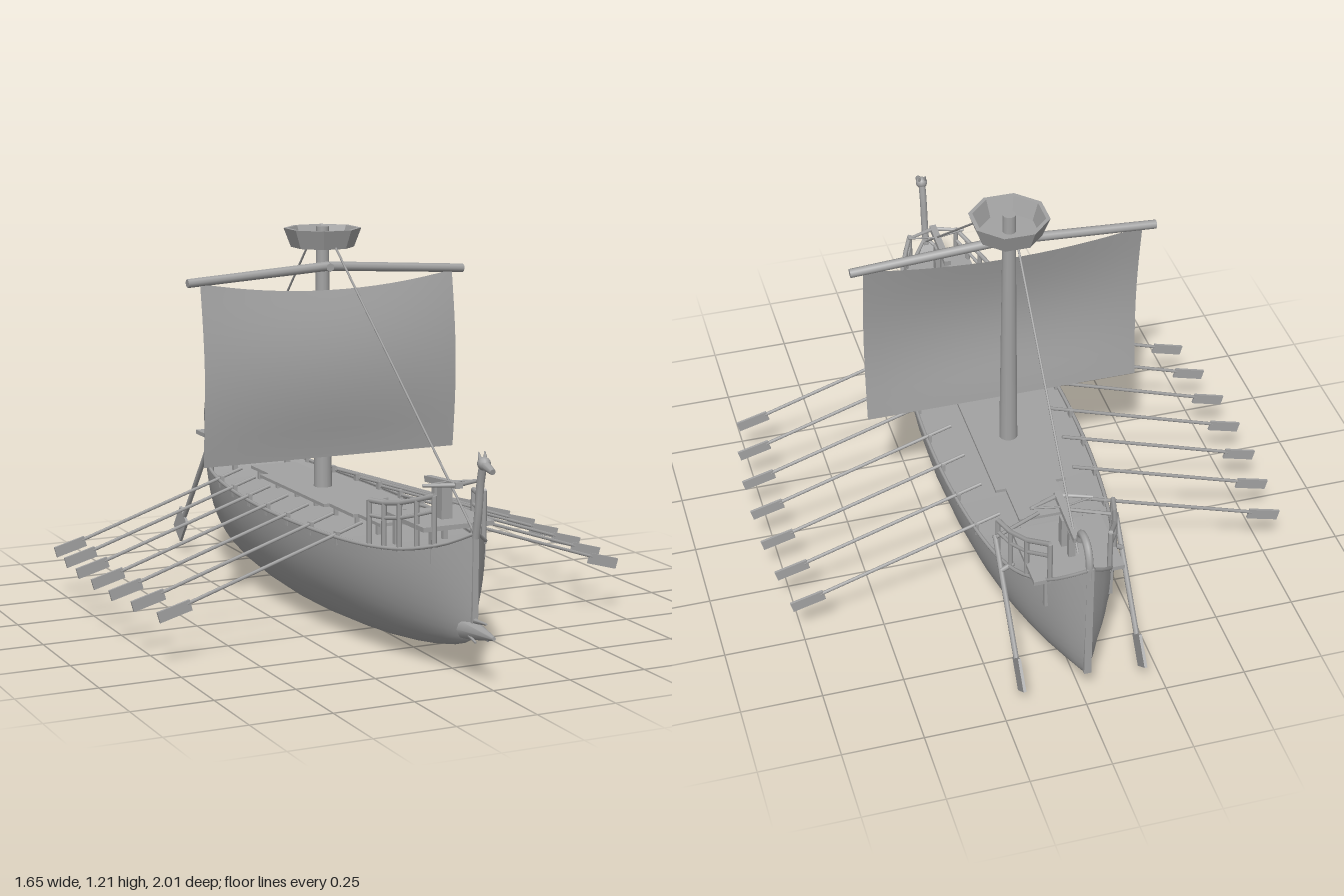
import * as THREE from 'three';

const wood = new THREE.MeshStandardMaterial({ color: 0xa2a2a2, side: THREE.DoubleSide });
wood.name = 'weathered grey';
const V = (x, y, z) => new THREE.Vector3(x, y, z);

// hull stations: z, half width, sheer height, keel height
const STATIONS = [
  [-1, 0.01, 0.54, 0.13], [-0.96, 0.055, 0.495, 0.105], [-0.9, 0.095, 0.44, 0.085],
  [-0.82, 0.135, 0.395, 0.065], [-0.74, 0.162, 0.365, 0.05], [-0.65, 0.185, 0.348, 0.036],
  [-0.5, 0.212, 0.34, 0.02], [-0.3, 0.233, 0.337, 0.007], [-0.1, 0.241, 0.336, 0.001],
  [0.1, 0.237, 0.337, 0.004], [0.3, 0.222, 0.339, 0.014], [0.45, 0.2, 0.341, 0.026],
  [0.57, 0.172, 0.346, 0.04], [0.68, 0.135, 0.357, 0.058], [0.77, 0.095, 0.378, 0.078],
  [0.83, 0.055, 0.4, 0.098], [0.865, 0.025, 0.42, 0.115], [0.885, 0.008, 0.432, 0.125],
];

// interpolated [half width, sheer] at z
function hullAt(z) {
  let i = 0;
  while (i < STATIONS.length - 2 && STATIONS[i + 1][0] < z) i++;
  const a = STATIONS[i], b = STATIONS[i + 1], t = (z - a[0]) / (b[0] - a[0]);
  return [a[1] + (b[1] - a[1]) * t, a[2] + (b[2] - a[2]) * t];
}

function add(parent, name, geometry, x = 0, y = 0, z = 0) {
  const mesh = new THREE.Mesh(geometry, wood);
  mesh.name = name;
  mesh.position.set(x, y, z);
  parent.add(mesh);
  return mesh;
}
const box = (parent, name, w, h, d, x, y, z) => add(parent, name, new THREE.BoxGeometry(w, h, d), x, y, z);

// round bar between two points
function bar(parent, name, a, b, r, r2 = r, sides = 6) {
  const mesh = add(parent, name, new THREE.CylinderGeometry(r2, r, a.distanceTo(b), sides));
  mesh.position.copy(a).lerp(b, 0.5);
  mesh.quaternion.setFromUnitVectors(V(0, 1, 0), b.clone().sub(a).normalize());
  return mesh;
}

// smooth surface from a grid of points
function surface(rows, cols, point) {
  const pos = [], idx = [];
  for (let i = 0; i < rows; i++) for (let j = 0; j < cols; j++) {
    pos.push(...point(i, j));
    if (i < rows - 1 && j < cols - 1) {
      const a = i * cols + j, b = a + cols;
      idx.push(a, b, a + 1, b, b + 1, a + 1);
    }
  }
  const g = new THREE.BufferGeometry();
  g.setAttribute('position', new THREE.Float32BufferAttribute(pos, 3));
  g.setIndex(idx);
  g.computeVertexNormals();
  return g;
}

// bolt thrower on a post, aimed forward
function boltThrower(parent, z, y) {
  const g = new THREE.Group();
  g.name = 'boltThrower';
  g.position.set(0, y, z);
  parent.add(g);
  box(g, 'throwerPost', 0.035, 0.1, 0.03, 0, 0.05, 0.01);
  box(g, 'throwerBrace', 0.02, 0.09, 0.02, 0, 0.045, -0.045);
  box(g, 'throwerStock', 0.022, 0.018, 0.2, 0, 0.11, 0).rotation.x = -0.08;
  for (const s of [-1, 1]) {
    bar(g, 'bowArm', V(0, 0.118, 0.09), V(s * 0.096, 0.118, 0.055), 0.008, 0.005);
    bar(g, 'bowString', V(0, 0.118, 0.035), V(s * 0.096, 0.118, 0.055), 0.003);
  }
}

// raised fighting platform with legs and side rails
function fightingPlatform(parent, name, zs, half, railRise) {
  const g = new THREE.Group();
  g.name = name;
  parent.add(g);
  const z0 = zs[0], z1 = zs[zs.length - 1];
  box(g, 'platformFloor', half * 2, 0.014, Math.abs(z1 - z0), 0, 0.432, (z0 + z1) / 2);
  for (const s of [-1, 1]) {
    for (const z of [z0, z1]) box(g, 'platformLeg', 0.016, 0.1, 0.016, s * half * 0.7, 0.38, z * 0.985);
    let last = null;
    zs.forEach((z, i) => {
      const [w, sheer] = hullAt(z);
      const top = V(s * (w - 0.004), railRise[i], z);
      bar(g, 'railPost', V(top.x, sheer - 0.01, z), top, 0.008);
      if (last) {
        bar(g, 'topRail', last, top, 0.008);
        bar(g, 'midRail', last.clone().setY(last.y - 0.045), top.clone().setY(top.y - 0.045), 0.006);
      }
      last = top;
    });
  }
}

export function createModel() {
  const ship = new THREE.Group();
  ship.name = 'ship';

  // hull, deck and end posts
  const N = 24;
  add(ship, 'hull', surface(STATIONS.length, N + 1, (i, j) => {
    const [z, w, top, keel] = STATIONS[i], a = (j / N) * Math.PI;
    return [w * Math.cos(a), top - (top - keel) * Math.sin(a), z];
  }));
  add(ship, 'deck', surface(STATIONS.length, 2, (i, j) => {
    const [z, w, top] = STATIONS[i];
    return [(j ? 1 : -1) * w * 0.985, top - 0.008, z];
  }));
  for (const s of [-1, 1]) {
    const rim = new THREE.CatmullRomCurve3(STATIONS.map(([z, w, top]) => V(s * w, top, z)));
    add(ship, 'gunwale', new THREE.TubeGeometry(rim, 50, 0.006, 6));
  }
  box(ship, 'stem', 0.018, 0.31, 0.014, 0, 0.278, 0.882);
  box(ship, 'sternPost', 0.022, 0.41, 0.012, 0, 0.335, -0.994);

  // stepped centre gangway on short posts
  for (const [z0, z1, half] of [[-0.55, -0.4, 0.08], [-0.4, 0.1, 0.112], [0.1, 0.27, 0.092], [0.27, 0.42, 0.075]])
    box(ship, 'gangway', half * 2, 0.01, z1 - z0, 0, 0.367, (z0 + z1) / 2);

  // rowing oars
  const reach = [0.785, 0.802, 0.815, 0.818, 0.815, 0.8, 0.775];
  reach.forEach((r, i) => {
    const z = -0.51 + i * 0.15;
    for (const s of [-1, 1]) {
      box(ship, 'gangwayPost', 0.012, 0.035, 0.012, s * 0.065, 0.348, z);
      const a = V(s * (r - 0.655), 0.375, z), b = V(s * (r - 0.09), 0.186, z);
      bar(ship, 'oarShaft', a, b, 0.0055);
      box(ship, 'oarBlade', 0.105, 0.034, 0.008, s * (r - 0.05), 0.168, z).rotation.z = -s * 0.27;
      box(ship, 'oarlock', 0.012, 0.04, 0.02, s * (hullAt(z)[0] - 0.006), 0.335, z);
    }
  });

  // steering oars with tillers
  for (const s of [-1, 1]) {
    const x = s * 0.188;
    bar(ship, 'steeringShaft', V(x, 0.43, -0.66), V(x, 0.14, -0.89), 0.0085);
    box(ship, 'steeringBlade', 0.009, 0.1, 0.075, x, 0.105, -0.925).rotation.x = 0.67;
    bar(ship, 'tiller', V(x, 0.43, -0.67), V(s * 0.035, 0.43, -0.6), 0.006);
    bar(ship, 'steeringBracket', V(s * 0.15, 0.37, -0.73), V(x, 0.35, -0.73), 0.008);
  }

  // platforms at bow and stern
  fightingPlatform(ship, 'bowPlatform', [0.55, 0.61, 0.67, 0.73, 0.785], 0.115, [0.48, 0.482, 0.492, 0.51, 0.53]);
  fightingPlatform(ship, 'sternPlatform', [-0.66, -0.73, -0.81, -0.9], 0.138, [0.485, 0.495, 0.525, 0.575]);
  boltThrower(ship, 0.685, 0.434);
  boltThrower(ship, -0.77, 0.44);

  // mast and lookout basket
  const mz = -0.15;
  bar(ship, 'mast', V(0, 0.32, mz), V(0, 1.21, mz), 0.03, 0.02, 12);
  const nest = new THREE.LatheGeometry(
    [[0, 1.145], [0.1, 1.145], [0.123, 1.205], [0.11, 1.205], [0.09, 1.152], [0, 1.152]].map(p => new THREE.Vector2(...p)), 8);
  const flatNest = nest.toNonIndexed();
  flatNest.computeVertexNormals();
  add(ship, 'lookoutBasket', flatNest, 0, 0, mz).rotation.y = Math.PI / 8;

  // bent yard and billowing sail
  for (const s of [-1, 1]) bar(ship, 'yard', V(0, 1.088, -0.105), V(s * 0.478, 1.058, -0.105), 0.015, 0.014, 8);
  bar(ship, 'yardTie', V(0, 1.085, -0.09), V(0, 1.085, mz), 0.014);
  add(ship, 'sail', surface(13, 17, (i, j) => {
    const v = i / 12, u = j / 8 - 1;
    const top = 1.055 - 0.042 * (1 - u * u);
    const belly = 0.025 * Math.sin(Math.PI * v) + 0.015 * (1 - u * u) * Math.sin(Math.PI * Math.min(1, v + 0.1));
    return [u * 0.437, top + (0.48 - top) * v, -0.102 + 0.015 * v + belly];
  }));

  // stays
  bar(ship, 'foreStay', V(0, 1.15, -0.05), V(0, 0.43, 0.88), 0.0035);
  bar(ship, 'backStay', V(0, 1.15, -0.25), V(0, 0.5, -0.88), 0.0035);

  // bow figurehead: slender neck, head, muzzle and crest
  const neck = new THREE.CatmullRomCurve3([V(0, 0.42, 0.885), V(0, 0.5, 0.9), V(0, 0.58, 0.91), V(0, 0.64, 0.925)]);
  add(ship, 'figureheadNeck', new THREE.TubeGeometry(neck, 12, 0.012, 8));
  add(ship, 'figureheadHead', new THREE.SphereGeometry(0.02, 10, 8), 0, 0.643, 0.93);
  bar(ship, 'figureheadMuzzle', V(0, 0.64, 0.935), V(0, 0.628, 0.982), 0.015, 0.009, 8);
  for (const s of [-1, 1]) bar(ship, 'figureheadEar', V(s * 0.008, 0.65, 0.925), V(s * 0.01, 0.675, 0.915), 0.007, 0.002);

  // ram at the waterline
  bar(ship, 'ram', V(0, 0.145, 0.84), V(0, 0.152, 1), 0.035, 0.006, 8);
  bar(ship, 'ramSpike', V(0, 0.175, 0.87), V(0, 0.183, 0.955), 0.01, 0.003);
  for (const s of [-1, 1]) bar(ship, 'ramFin', V(s * 0.015, 0.14, 0.86), V(s * 0.02, 0.125, 0.93), 0.008, 0.003);

  // curled stern ornament
  const curl = new THREE.CatmullRomCurve3([V(0, 0.5, -0.99), V(0, 0.56, -0.985), V(0, 0.597, -0.96),
    V(0, 0.607, -0.93), V(0, 0.595, -0.902), V(0, 0.565, -0.895)]);
  add(ship, 'sternCurl', new THREE.TubeGeometry(curl, 24, 0.012, 8));

  return ship;
}
